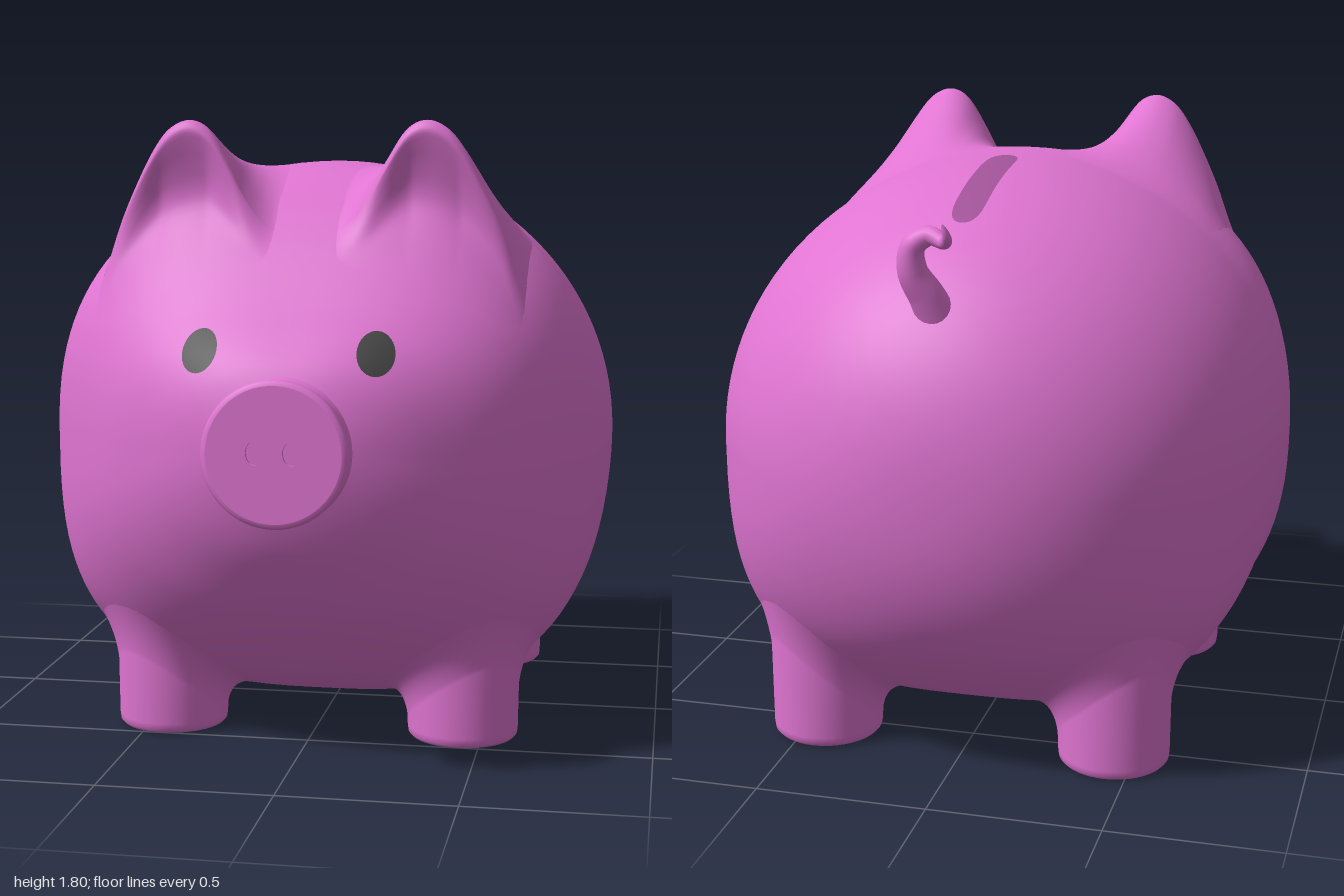
import * as THREE from 'three';
import { mergeVertices } from 'three/addons/utils/BufferGeometryUtils.js';

const pink = new THREE.MeshStandardMaterial({ color: 0xe075d2 });
pink.name = 'pink glaze';
const dark = new THREE.MeshStandardMaterial({ color: 0x404040 });
dark.name = 'eye charcoal';
const deep = new THREE.MeshStandardMaterial({ color: 0xa3549a });
deep.name = 'slot deep pink';

// Piecewise smooth curve through [x, y] points
function spline(xs, ys) {
  const slope = xs.map((x, i) => (i === 0 ? 0
    : (ys[Math.min(i + 1, ys.length - 1)] - ys[i - 1]) / (xs[Math.min(i + 1, xs.length - 1)] - xs[i - 1])));
  return (x) => {
    if (x <= xs[0]) return ys[0];
    if (x >= xs[xs.length - 1]) return ys[ys.length - 1];
    let i = 0;
    while (x > xs[i + 1]) i++;
    const d = xs[i + 1] - xs[i], t = (x - xs[i]) / d, t2 = t * t, t3 = t2 * t;
    return (2 * t3 - 3 * t2 + 1) * ys[i] + (t3 - 2 * t2 + t) * d * slope[i]
      + (3 * t2 - 2 * t3) * ys[i + 1] + (t3 - t2) * d * slope[i + 1];
  };
}

// Smooth surface from a rule fn(u, v) -> [x, y, z], facing dP/du x dP/dv
function surface(nu, nv, fn) {
  const pos = [], idx = [];
  for (let i = 0; i <= nu; i++) for (let j = 0; j <= nv; j++) pos.push(...fn(i / nu, j / nv));
  for (let i = 0; i < nu; i++) for (let j = 0; j < nv; j++) {
    const a = i * (nv + 1) + j, b = a + nv + 1;
    idx.push(a, b, a + 1, b, b + 1, a + 1);
  }
  let g = new THREE.BufferGeometry();
  g.setAttribute('position', new THREE.Float32BufferAttribute(pos, 3));
  g.setIndex(idx);
  g = mergeVertices(g, 1e-4);
  g.computeVertexNormals();
  return g;
}

// Body cross-section at z: centre height, half height, half width, roundness above (p) and below (q)
const Z = [0, 0.2, 0.4, 0.55, 0.7, 0.8, 0.86, 0.9, 0.93];
const topAt = spline(Z, [1.68, 1.665, 1.585, 1.465, 1.3, 1.2, 1.125, 1.03, 0.92]);
const botAt = spline(Z, [0.045, 0.075, 0.15, 0.245, 0.4, 0.545, 0.655, 0.78, 0.9]);
const widthAt = spline(Z, [0.85, 0.83, 0.765, 0.67, 0.53, 0.385, 0.265, 0.14, 0.005]);
const upperAt = spline(Z, [2, 2.2, 2.5, 2.7, 2.75, 2.75, 2.5, 2, 2]);
const lowerAt = spline([-1, -0.8, -0.55, -0.3, -0.05, 0.15, 0.36, 0.6, 0.8, 0.9],
  [2, 2.5, 3, 2.6, 2.2, 2.6, 3, 2.6, 2.3, 2]);
function section(z) {
  const q = lowerAt(z);
  if (z < 0) {
    const round = (e) => Math.pow(Math.max(0, 1 - Math.pow(-z, e)), 1 / e);
    return { c: 0.8625 + 0.0175 * z * z, h: 0.8175 * round(2.3), w: 0.85 * round(2.2), p: 2, q };
  }
  const t = topAt(z), b = botAt(z);
  return { c: (t + b) / 2, h: (t - b) / 2, w: widthAt(z), p: upperAt(z), q };
}
// Height of the body skin above (side 1) or below (side -1) a point
function skinY(x, z, side) {
  const s = section(z), e = side > 0 ? s.p : s.q;
  return s.c + side * s.h * Math.pow(Math.max(0, 1 - Math.pow(Math.abs(x) / s.w, e)), 1 / e);
}
// Depth of the face skin at a point
function skinZ(x, y) {
  let lo = 0.3, hi = 0.93;
  for (let i = 0; i < 30; i++) {
    const m = (lo + hi) / 2, { c, h, w, p } = section(m);
    if (Math.pow(Math.abs(x) / w, p) + Math.pow(Math.abs(y - c) / h, p) < 1) lo = m; else hi = m;
  }
  return lo;
}

function bodyGeometry() {
  const spow = (v, e) => Math.sign(v) * Math.pow(Math.abs(v), e);
  return surface(110, 112, (u, v) => {
    const z = u < 0.5 ? -Math.cos(u * Math.PI) : (u - 0.5) * 1.86;
    const { c, h, w, p, q } = section(z), a = -v * Math.PI * 2, e = 2 / (Math.sin(a) > 0 ? p : q);
    return [w * spow(Math.cos(a), e), c + h * spow(Math.sin(a), e), z];
  });
}

// Ear: a swelling that rises from the back, folds over and melts into the brow
const earHeight = spline([0.08, 0.13, 0.18, 0.22, 0.28, 0.34, 0.4, 0.45, 0.5, 0.55, 0.59, 0.62],
  [0, 0.03, 0.1, 0.18, 0.285, 0.33, 0.325, 0.28, 0.21, 0.13, 0.05, 0]);
function earGeometry(s) {
  return surface(54, 56, (u, v) => {
    const x = 0.08 + 0.54 * (s > 0 ? 1 - u : u);
    const h = earHeight(x), f = Math.min(1, h / 0.3);
    const ridge = 0.515 - 1.1 * Math.max(0, x - 0.36) ** 2;
    const at = (z, k) => new THREE.Vector2(z, skinY(x, z, 1) + h * k - 0.002);
    // Low parts of the ridge slope gently forward, high parts overhang
    const fold = (dz, k) => at(ridge - dz * f + (1 - f) * 0.1 * (1 - k), k);
    const pts = [];
    for (let i = 0; i <= 7; i++) {
      const t = i / 7;
      pts.push(at(-0.05 + t * ridge, 0.88 * Math.pow(t, 2.3)));
    }
    pts.push(fold(0.02, 0.985), fold(-0.001, 0.97), fold(0.004, 0.85), fold(0.022, 0.6), fold(0.033, 0.37),
      fold(0.022, 0.21), at(ridge + 0.03 + (1 - f) * 0.06, 0.09), at(ridge + 0.09 + (1 - f) * 0.02, 0.015),
      at(ridge + 0.13, 0));
    const q = new THREE.SplineCurve(pts).getPoint(v);
    return [s * x, q.y, q.x];
  });
}

// Leg: straight round foot that flares into the belly
function legGeometry(cx, cz) {
  const r = 0.163;
  const foot = [[0, 0], [0.14, 0], [0.152, 0.002], [0.161, 0.012], [r, 0.03]];
  const steps = 14, n = foot.length - 1 + steps;
  return surface(n, 48, (u, v) => {
    const a = v * Math.PI * 2, i = Math.round(u * n);
    const belly = (d) => skinY(cx + d * Math.cos(a), cz + d * Math.sin(a), -1);
    let d, y;
    if (i < foot.length) [d, y] = foot[i];
    else {
      const t = (i - foot.length + 1) / steps, k = 1 - t;
      const y1 = belly(r + 0.01), y0 = Math.max(0.05, y1 - 0.12);
      d = k * k * r + 2 * k * t * (r + 0.01) + t * t * (r + 0.085);
      y = k * k * y0 + 2 * k * t * y1 + t * t * (belly(r + 0.085) + 0.004);
    }
    return [cx + d * Math.cos(a), y, cz + d * Math.sin(a)];
  });
}

// Eye: thin oval lying on the face
function eyeGeometry(s) {
  return surface(6, 32, (u, v) => {
    const a = v * Math.PI * 2, px = 0.05 * u * Math.cos(a), py = 0.059 * u * Math.sin(a);
    const c = Math.cos(0.35), t = s * Math.sin(0.35);
    const x = s * 0.244 + px * c - py * t, y = 1.177 + px * t + py * c;
    return [x, y, skinZ(x, y) + 0.007];
  });
}

// Coin slot: thin rounded strip lying on the back
function slotGeometry() {
  return surface(40, 6, (u, v) => {
    const t = -Math.cos(u * Math.PI), z = -0.335 + 0.255 * t;
    const x = 0.045 * Math.sqrt(Math.max(0, 1 - t ** 8)) * (2 * v - 1);
    return [x, skinY(x, z, 1) + 0.004, z];
  });
}

// Tail: tapered curl
function tailGeometry() {
  const path = new THREE.CatmullRomCurve3([
    [0, 1.34, -0.8], [0.03, 1.42, -0.83], [0.06, 1.49, -0.855], [0.055, 1.56, -0.865], [0.01, 1.59, -0.865],
    [-0.04, 1.58, -0.895], [-0.053, 1.6, -0.92], [-0.045, 1.635, -0.933],
  ].map((p) => new THREE.Vector3(...p)));
  const n = 60, frames = path.computeFrenetFrames(n);
  return surface(n, 20, (u, v) => {
    const i = Math.round(u * n), a = v * Math.PI * 2;
    const r = 0.056 * Math.pow(1 - u, 0.7) + 0.002;
    return path.getPointAt(u).addScaledVector(frames.normals[i], r * Math.cos(a))
      .addScaledVector(frames.binormals[i], -r * Math.sin(a)).toArray();
  });
}

function mesh(name, geometry, material = pink) {
  const m = new THREE.Mesh(geometry, material);
  m.name = name;
  return m;
}

// Snout: flared disc with two shallow nostrils
function snout() {
  const g = new THREE.Group();
  g.name = 'snout';
  const profile = [[0.24, -0.2], [0.205, -0.13], [0.19, -0.095], [0.191, -0.05], [0.199, -0.025],
    [0.199, -0.012], [0.194, -0.003], [0.183, 0]].map((p) => new THREE.Vector2(...p));
  g.add(mesh('snoutRim', new THREE.LatheGeometry(profile, 64).rotateX(Math.PI / 2)));
  const disc = new THREE.Shape().absarc(0, 0, 0.184, 0, Math.PI * 2);
  for (const s of [1, -1]) disc.holes.push(new THREE.Path().absellipse(s * 0.05, 0.005, 0.025, 0.032, 0, Math.PI * 2, true));
  const face = new THREE.ExtrudeGeometry(disc, { depth: 0.012, bevelEnabled: false, curveSegments: 32 });
  g.add(mesh('snoutFace', face.translate(0, 0, -0.012)));
  g.add(mesh('nostrilFloor', new THREE.CircleGeometry(0.15, 32).translate(0, 0, -0.01)));
  g.position.set(0, 0.925, 0.99);
  g.rotation.x = -0.05;
  return g;
}

export function createModel() {
  const model = new THREE.Group();
  model.name = 'piggyBank';
  model.add(mesh('body', bodyGeometry()), snout(), mesh('tail', tailGeometry()), mesh('coinSlot', slotGeometry(), deep));
  for (const [side, s] of [['left', 1], ['right', -1]]) {
    model.add(mesh(side + 'Ear', earGeometry(s)));
    model.add(mesh(side + 'Eye', eyeGeometry(s), dark));
    model.add(mesh(side + 'FrontLeg', legGeometry(s * 0.44, 0.355)));
    model.add(mesh(side + 'BackLeg', legGeometry(s * 0.44, -0.55)));
  }
  return model;
}
